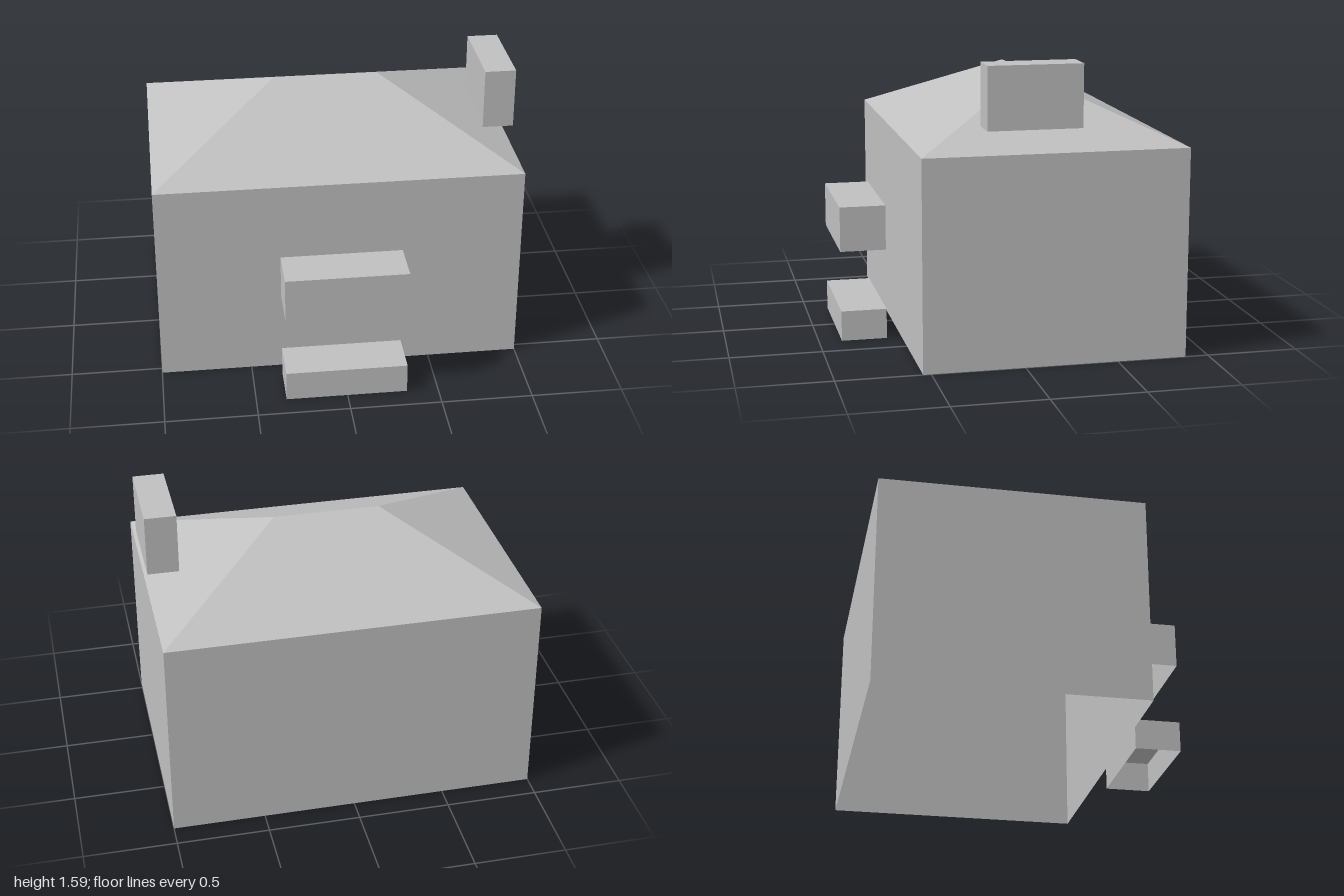
import * as THREE from 'three';

const grey = new THREE.MeshStandardMaterial({ color: 0xc0c0c0, side: THREE.DoubleSide });
grey.name = 'plain grey';

// Box given by its limits, with chosen faces left out (0 +x, 1 -x, 2 +y, 3 -y, 4 +z, 5 -z)
function openBox(name, [x0, x1], [y0, y1], [z0, z1], openFaces) {
  const geometry = new THREE.BoxGeometry(x1 - x0, y1 - y0, z1 - z0);
  const index = Array.from(geometry.index.array);
  geometry.setIndex(index.filter((_, i) => !openFaces.includes(Math.floor(i / 6))));
  geometry.clearGroups();
  const mesh = new THREE.Mesh(geometry, grey);
  mesh.name = name;
  mesh.position.set((x0 + x1) / 2, (y0 + y1) / 2, (z0 + z1) / 2);
  return mesh;
}

// Hipped roof: four eave corners rising to a short ridge
function hipRoof(halfWidth, halfRidge, eave, ridge, back, front) {
  const mid = (back + front) / 2;
  const points = [
    [-halfWidth, eave, front], [halfWidth, eave, front],
    [halfWidth, eave, back], [-halfWidth, eave, back],
    [-halfRidge, ridge, mid], [halfRidge, ridge, mid],
  ];
  const faces = [0, 1, 5, 0, 5, 4, 1, 2, 5, 2, 3, 4, 2, 4, 5, 3, 0, 4];
  const geometry = new THREE.BufferGeometry();
  geometry.setAttribute('position',
    new THREE.Float32BufferAttribute(faces.flatMap((i) => points[i]), 3));
  geometry.computeVertexNormals();
  const mesh = new THREE.Mesh(geometry, grey);
  mesh.name = 'roof';
  return mesh;
}

export function createModel() {
  const group = new THREE.Group();
  group.name = 'house';
  const back = -0.875, front = 0.543, eave = 1.13;
  const slabX = [-0.335, 0.328], slabZ = [0.625, 0.875];

  group.add(
    // Four walls, open underneath and covered by the roof
    openBox('walls', [-1, 1], [0, eave], [back, front], [2, 3]),
    hipRoof(1, 0.29, eave, 1.45, back, front),
    // Floating blocks, each open underneath
    openBox('chimney', [0.83, 1], [1.255, 1.587], [-0.295, 0.205], [3]),
    openBox('porchCanopy', slabX, [0.503, 0.75], slabZ, [3]),
    openBox('doorstep', slabX, [0, 0.167], slabZ, [3]),
  );
  return group;
}
